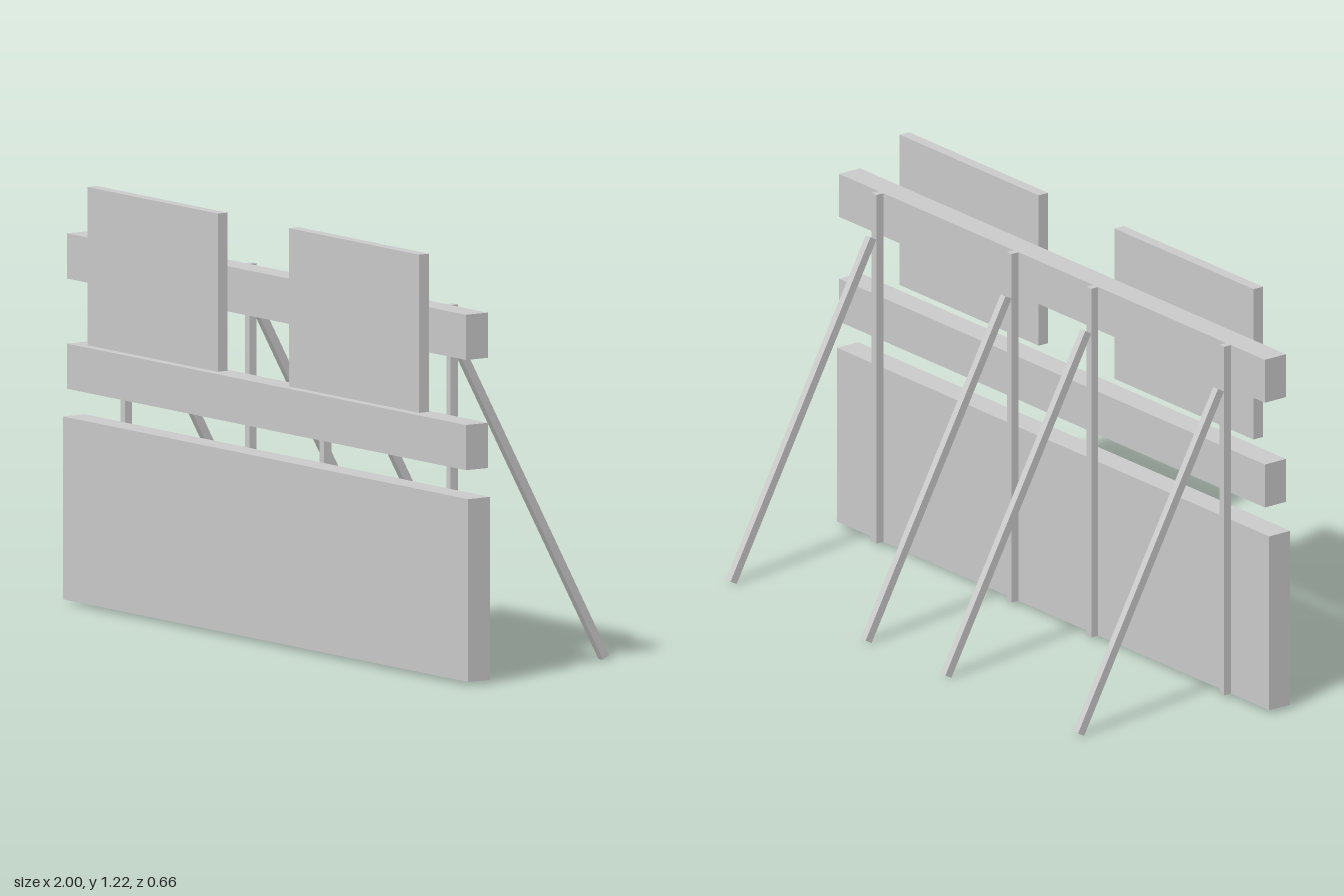
import * as THREE from 'three';

const material = new THREE.MeshStandardMaterial({ color: 0xcccccc, flatShading: true });

// Box given by its [min, max] extent along each axis
function slab(name, [x0, x1], [y0, y1], [z0, z1]) {
  const mesh = new THREE.Mesh(new THREE.BoxGeometry(x1 - x0, y1 - y0, z1 - z0), material);
  mesh.position.set((x0 + x1) / 2, (y0 + y1) / 2, (z0 + z1) / 2);
  mesh.name = name;
  return mesh;
}

// Slanted strut between two points in the yz plane
function strut(name, x, top, foot, width, depth) {
  const dy = top.y - foot.y;
  const dz = top.z - foot.z;
  const mesh = new THREE.Mesh(new THREE.BoxGeometry(width, Math.hypot(dy, dz), depth), material);
  mesh.position.set(x, (top.y + foot.y) / 2, (top.z + foot.z) / 2);
  mesh.rotation.x = Math.atan2(dz, dy);
  mesh.name = name;
  return mesh;
}

export function createModel() {
  const model = new THREE.Group();
  model.name = 'barrier';
  const boardZ = [0.221, 0.297];

  // Horizontal boards
  model.add(slab('baseBoard', [-1, 1], [0.01, 0.536], boardZ));
  model.add(slab('middleRail', [-0.98, 0.99], [0.618, 0.748], boardZ));
  model.add(slab('topRail', [-0.98, 0.99], [0.935, 1.065], boardZ));

  // Sign panels on the front of the top rail
  model.add(slab('rightPanel', [-0.83, -0.187], [0.764, 1.219], [0.297, 0.331]));
  model.add(slab('leftPanel', [0.164, 0.807], [0.764, 1.219], [0.297, 0.331]));

  // Rear posts, each with a slanted brace
  const width = 0.022;
  for (const x of [-0.812, -0.198, 0.171, 0.796]) {
    const support = new THREE.Group();
    support.name = 'support';
    support.add(slab('post', [x - width / 2, x + width / 2], [0.01, 1.065], [0.196, 0.221]));
    support.add(strut('brace', x, { y: 0.936, z: 0.185 }, { y: 0.006, z: -0.32 }, width, 0.025));
    model.add(support);
  }
  return model;
}
